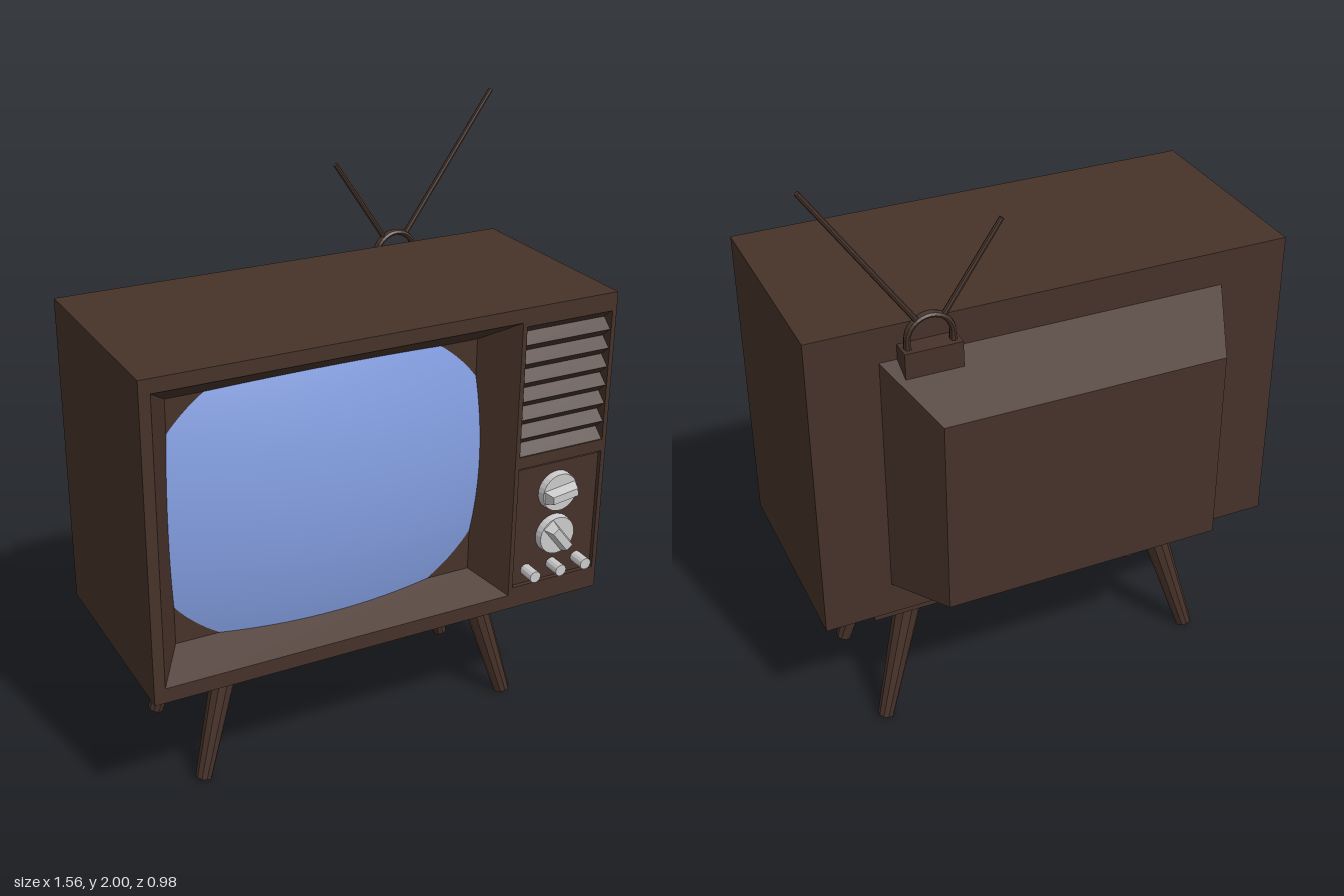
import * as THREE from 'three';

const brown = new THREE.MeshStandardMaterial({ color: 0x463229, flatShading: true });
const metal = new THREE.MeshStandardMaterial({ color: 0xcccccc, flatShading: true });
const glass = new THREE.MeshStandardMaterial({ color: 0x849fe2 });

export function createModel() {
  const model = new THREE.Group();

  function add(name, geometry, material = brown, parent = model) {
    const mesh = new THREE.Mesh(geometry, material);
    mesh.name = name;
    parent.add(mesh);
    return mesh;
  }

  // Box given by its limits on each axis
  function block(name, x0, x1, y0, y1, z0, z1) {
    const g = new THREE.BoxGeometry(x1 - x0, y1 - y0, z1 - z0);
    return add(name, g.translate((x0 + x1) / 2, (y0 + y1) / 2, (z0 + z1) / 2));
  }

  // Tapered round bar between two points
  function bar(name, from, to, r0, r1, sides) {
    const a = new THREE.Vector3(...from), b = new THREE.Vector3(...to);
    const dir = b.clone().sub(a);
    const mesh = add(name, new THREE.CylinderGeometry(r1, r0, dir.length(), sides));
    mesh.position.copy(a).add(b).multiplyScalar(0.5);
    mesh.quaternion.setFromUnitVectors(new THREE.Vector3(0, 1, 0), dir.normalize());
    return mesh;
  }

  // Skin between two rectangles [x0, x1, y0, y1, z]; going forward faces outward, going back faces inward
  function rectLoft(first, last, capFirst, capLast) {
    const corners = ([x0, x1, y0, y1, z]) => [[x0, y0, z], [x1, y0, z], [x1, y1, z], [x0, y1, z]];
    const a = corners(first), b = corners(last), pos = [];
    const quad = (p, q, r, s) => pos.push(...p, ...q, ...r, ...p, ...r, ...s);
    for (let i = 0; i < 4; i++) {
      const j = (i + 1) % 4;
      quad(a[i], a[j], b[j], b[i]);
    }
    if (capFirst) quad(a[3], a[2], a[1], a[0]);
    if (capLast) quad(...b);
    const g = new THREE.BufferGeometry();
    g.setAttribute('position', new THREE.Float32BufferAttribute(pos, 3));
    g.computeVertexNormals();
    return g;
  }

  const rect = (Type, x0, x1, y0, y1) => new Type([
    new THREE.Vector2(x0, y0), new THREE.Vector2(x1, y0),
    new THREE.Vector2(x1, y1), new THREE.Vector2(x0, y1),
  ]);

  // Cabinet: solid rear and a front frame with three openings
  block('cabinet', -0.78, 0.78, 0.49, 1.525, -0.27, 0.25);
  const frame = rect(THREE.Shape, -0.78, 0.78, 0.49, 1.525);
  frame.holes.push(
    rect(THREE.Path, -0.745, 0.44, 0.54, 1.48),
    rect(THREE.Path, 0.455, 0.765, 1.03, 1.465),
    rect(THREE.Path, 0.455, 0.765, 0.565, 0.99),
  );
  add('frontFrame', new THREE.ExtrudeGeometry(frame, { depth: 0.195, bevelEnabled: false }).translate(0, 0, 0.25));

  // Sloped bezel, with the bulging tube showing through it
  add('bezel', rectLoft([-0.745, 0.44, 0.54, 1.48, 0.445], [-0.66, 0.36, 0.6, 1.4, 0.32], false, true));
  const screen = new THREE.PlaneGeometry(1.09, 0.87, 40, 32);
  const p = screen.attributes.position;
  for (let i = 0; i < p.count; i++) {
    p.setZ(i, 0.405 - 0.23 * p.getX(i) ** 2 - 0.33 * p.getY(i) ** 2);
  }
  screen.computeVertexNormals();
  add('screen', screen.translate(-0.155, 1.008, 0), glass);

  // Speaker grille: a zigzag of louvres
  const louvres = 7, pitch = 0.435 / louvres;
  const zigzag = new THREE.Shape().moveTo(0.3, 1.03).lineTo(0.44, 1.03);
  for (let i = 0; i < louvres; i++) {
    const y = 1.03 + i * pitch;
    zigzag.lineTo(0.405, y + pitch * 0.5).lineTo(0.44, y + pitch);
  }
  zigzag.lineTo(0.3, 1.465);
  const grille = new THREE.ExtrudeGeometry(zigzag, { depth: 0.31, bevelEnabled: false });
  add('speakerGrille', grille.rotateY(-Math.PI / 2).translate(0.765, 0, 0));

  // Control panel with two dials and three buttons
  block('controlPanel', 0.462, 0.765, 0.565, 0.978, 0.25, 0.43);
  for (const [y, turn] of [[0.88, 0.14], [0.725, -0.9]]) {
    const dial = new THREE.Group();
    dial.name = 'dial';
    dial.position.set(0.61, y, 0.425);
    dial.rotation.z = turn;
    add('dialDisc', new THREE.CylinderGeometry(0.064, 0.068, 0.03, 24).rotateX(Math.PI / 2).translate(0, 0, 0.015), metal, dial);
    add('dialGrip', rectLoft([-0.058, 0.058, -0.022, 0.022, 0.03], [-0.046, 0.046, -0.013, 0.013, 0.063], false, true), metal, dial);
    model.add(dial);
  }
  for (const x of [0.512, 0.61, 0.706]) {
    add('button', new THREE.CylinderGeometry(0.02, 0.02, 0.062, 12).rotateX(Math.PI / 2).translate(x, 0.612, 0.457), metal);
  }

  // Tapered housing at the back
  add('backHousing', rectLoft([-0.455, 0.455, 0.647, 1.297, -0.495], [-0.56, 0.56, 0.603, 1.41, -0.27], true, false));

  // Base plate and four splayed legs
  block('basePlate', -0.575, 0.615, 0.457, 0.49, -0.25, 0.265);
  for (const side of [-1, 1]) {
    for (const [name, top, foot] of [['frontLeg', 0.167, 0.222], ['backLeg', -0.147, -0.208]]) {
      bar(name, [0.018 + side * 0.567, 0.008, foot], [0.018 + side * 0.435, 0.475, top], 0.027, 0.046, 10);
    }
  }

  // Aerial: mount, arch and two rods
  block('aerialMount', 0.325, 0.505, 1.36, 1.46, -0.335, -0.265);
  const arch = new THREE.TorusGeometry(0.07, 0.01, 8, 16, Math.PI).scale(1, 1, 1.5);
  add('aerialArch', arch.translate(0.415, 1.485, -0.303));
  for (const side of [-1, 1]) {
    const x = 0.415 + side * 0.07;
    bar('aerialArchFoot', [x, 1.45, -0.303], [x, 1.487, -0.303], 0.012, 0.01, 8).scale.z = 1.5;
  }
  bar('shortRod', [0.372, 1.545, -0.305], [0.192, 1.81, -0.305], 0.009, 0.008, 8);
  bar('longRod', [0.455, 1.545, -0.305], [0.768, 1.996, -0.305], 0.009, 0.008, 8);

  return model;
}
